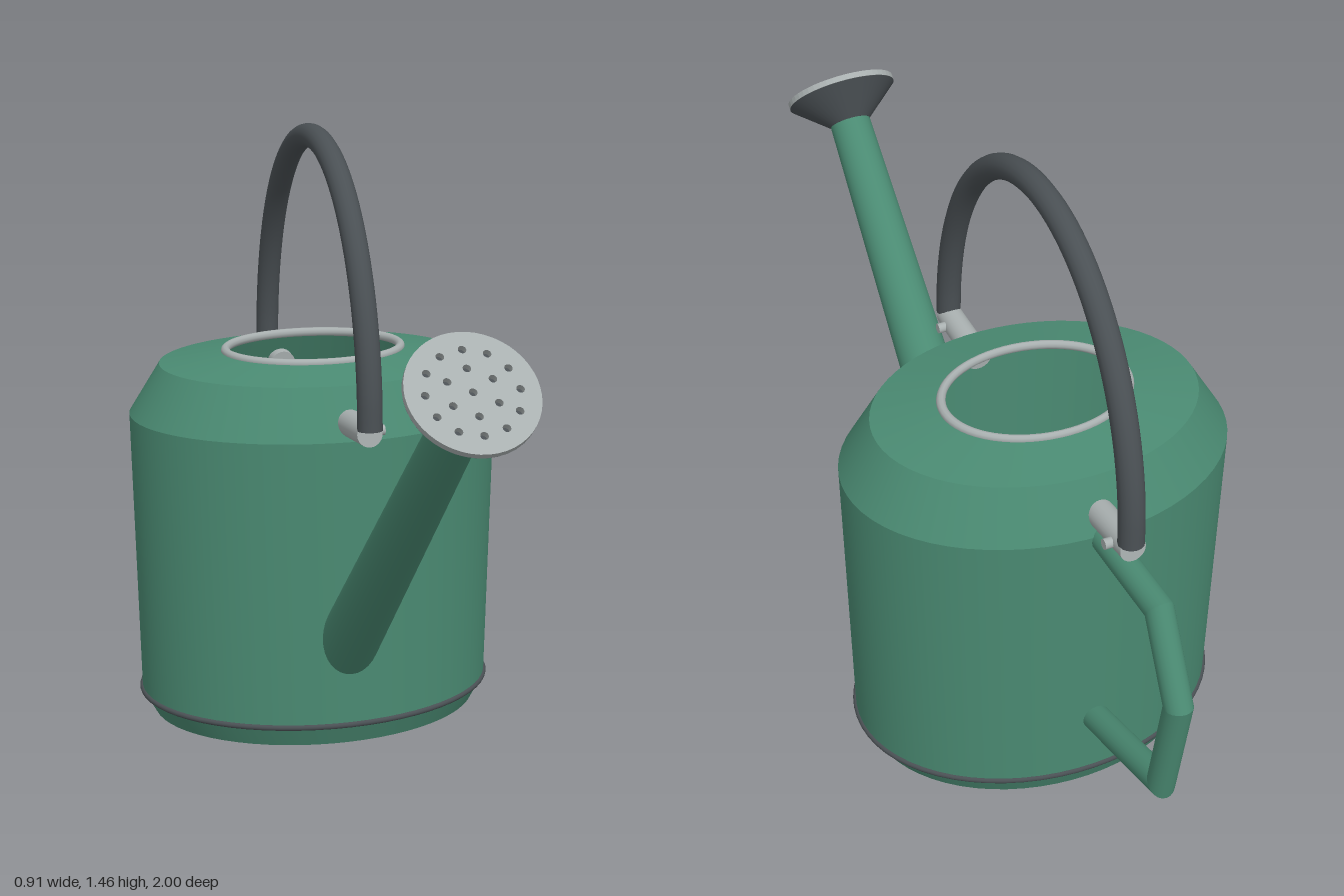
import * as THREE from 'three';
import { toCreasedNormals } from 'three/addons/utils/BufferGeometryUtils.js';

const mat = (color, side = THREE.FrontSide) => new THREE.MeshStandardMaterial({ color, side });
const green = mat(0x4a8a72);
const greenShell = mat(0x4a8a72, THREE.DoubleSide);
const dark = mat(0x4a5054);
const metal = mat(0xa9b0b0);

const CENTRE_Z = -0.27; // centre of the oval body
const OVAL = 0.775;     // depth to width of the body

export function createModel() {
  const model = new THREE.Group();
  const UP = new THREE.Vector3(0, 1, 0);

  function add(parent, name, geometry, material) {
    const mesh = new THREE.Mesh(geometry, material);
    mesh.name = name;
    parent.add(mesh);
    return mesh;
  }

  // Tapered round bar between two [z, y] points of the middle plane
  function rod(parent, name, a, b, ra, rb, material, sides = 32) {
    const from = new THREE.Vector3(0, a[1], a[0]);
    const to = new THREE.Vector3(0, b[1], b[0]);
    const dir = to.clone().sub(from);
    const mesh = add(parent, name, new THREE.CylinderGeometry(rb, ra, dir.length(), sides), material);
    mesh.position.copy(from).lerp(to, 0.5);
    mesh.quaternion.setFromUnitVectors(UP, dir.normalize());
    return mesh;
  }

  // Oval ring lying flat around the body axis
  function ovalRing(name, radius, tube, y, material) {
    const g = new THREE.TorusGeometry(radius, tube, 10, 64);
    g.rotateX(Math.PI / 2).scale(1, 1, OVAL).translate(0, y, CENTRE_Z);
    add(model, name, g, material);
  }

  // Body: one oval shell with chamfered foot, shoulder and open top
  const profile = [[0, 0], [0.41, 0], [0.44, 0.055], [0.455, 0.765], [0.38, 0.885], [0.22, 0.91]];
  const shell = new THREE.LatheGeometry(profile.map(([r, y]) => new THREE.Vector2(r, y)), 64);
  shell.scale(1, 1, OVAL).translate(0, 0, CENTRE_Z);
  add(model, 'body', toCreasedNormals(shell, 0.3), greenShell);
  ovalRing('openingRim', 0.217, 0.011, 0.911, metal);
  ovalRing('footBand', 0.44, 0.007, 0.055, dark);

  // Spout
  rod(model, 'spout', [0.02, 0.236], [0.855, 1.04], 0.073, 0.051, green);

  // Sprinkler rose: flared back and perforated plate
  const rose = new THREE.Group();
  rose.name = 'rose';
  model.add(rose);
  rod(rose, 'roseFlare', [0.835, 1.022], [0.888, 1.075], 0.051, 0.138, dark, 40);
  const plate = new THREE.Shape().absarc(0, 0, 0.138, 0, Math.PI * 2);
  for (const [count, radius] of [[1, 0], [6, 0.054], [12, 0.097]]) {
    for (let i = 0; i < count; i++) {
      const a = (i / count) * Math.PI * 2 + Math.PI / 2;
      const hole = new THREE.Path();
      hole.absarc(radius * Math.cos(a), radius * Math.sin(a), 0.0085, 0, Math.PI * 2, true);
      plate.holes.push(hole);
    }
  }
  const plateMesh = add(rose, 'rosePlate',
    new THREE.ExtrudeGeometry(plate, { depth: 0.014, bevelEnabled: false, curveSegments: 24 }), metal);
  plateMesh.position.set(0, 1.0755, 0.8885);
  plateMesh.rotation.x = -Math.PI / 4;

  // Carrying bail: half-oval arch with closed ends
  const arch = [];
  for (let i = 0; i <= 24; i++) {
    const a = (i / 24) * Math.PI;
    arch.push(new THREE.Vector3(0, 0.827 + 0.6 * Math.sin(a), -0.26 + 0.473 * Math.cos(a)));
  }
  add(model, 'bail', new THREE.TubeGeometry(new THREE.CatmullRomCurve3(arch), 64, 0.029, 16), dark);
  for (const s of [1, -1]) {
    const z = -0.26 + s * 0.473;
    const cap = add(model, 'bailEndCap', new THREE.CircleGeometry(0.029, 16), dark);
    cap.rotation.x = Math.PI / 2;
    cap.position.set(0, 0.827, z);

    // Lug on the body and its rivet
    const at = (d) => -0.265 + s * d;
    rod(model, 'bailLug', [at(0.3), 0.801], [at(0.478), 0.818], 0.032, 0.03, metal, 24);
    const rivet = add(model, 'bailRivet', new THREE.CylinderGeometry(0.012, 0.012, 0.03, 16), metal);
    rivet.rotation.z = Math.PI / 2;
    rivet.position.set(0.032, 0.814, at(0.435));
  }

  // Rear handle: straight round lengths with mitred corners, as [z, y]
  const path = [[-0.56, 0.753], [-0.865, 0.75], [-0.967, 0.565], [-0.919, 0.298], [-0.56, 0.2]]
    .map(([z, y]) => new THREE.Vector3(0, y, z));
  const dirs = path.slice(1).map((p, i) => p.clone().sub(path[i]).normalize());
  const handle = new THREE.Group();
  handle.name = 'rearHandle';
  model.add(handle);
  dirs.forEach((d, i) => {
    const n = new THREE.Vector3(0, d.z, -d.y);
    const length = path[i].distanceTo(path[i + 1]);
    const slope = (other) => {
      const t = d.clone().add(other || d);
      return -n.dot(t) / d.dot(t);
    };
    const low = slope(dirs[i - 1]);
    const high = slope(dirs[i + 1]);
    const g = new THREE.CylinderGeometry(0.032, 0.032, length, 20, 1, true);
    const p = g.attributes.position;
    for (let v = 0; v < p.count; v++) {
      p.setY(v, p.getY(v) + p.getX(v) * (p.getY(v) > 0 ? high : low));
    }
    g.applyMatrix4(new THREE.Matrix4().makeBasis(n, d, n.clone().cross(d)));
    const mid = path[i].clone().lerp(path[i + 1], 0.5);
    add(handle, 'handleLength', g.translate(mid.x, mid.y, mid.z), green);
  });

  return model;
}
